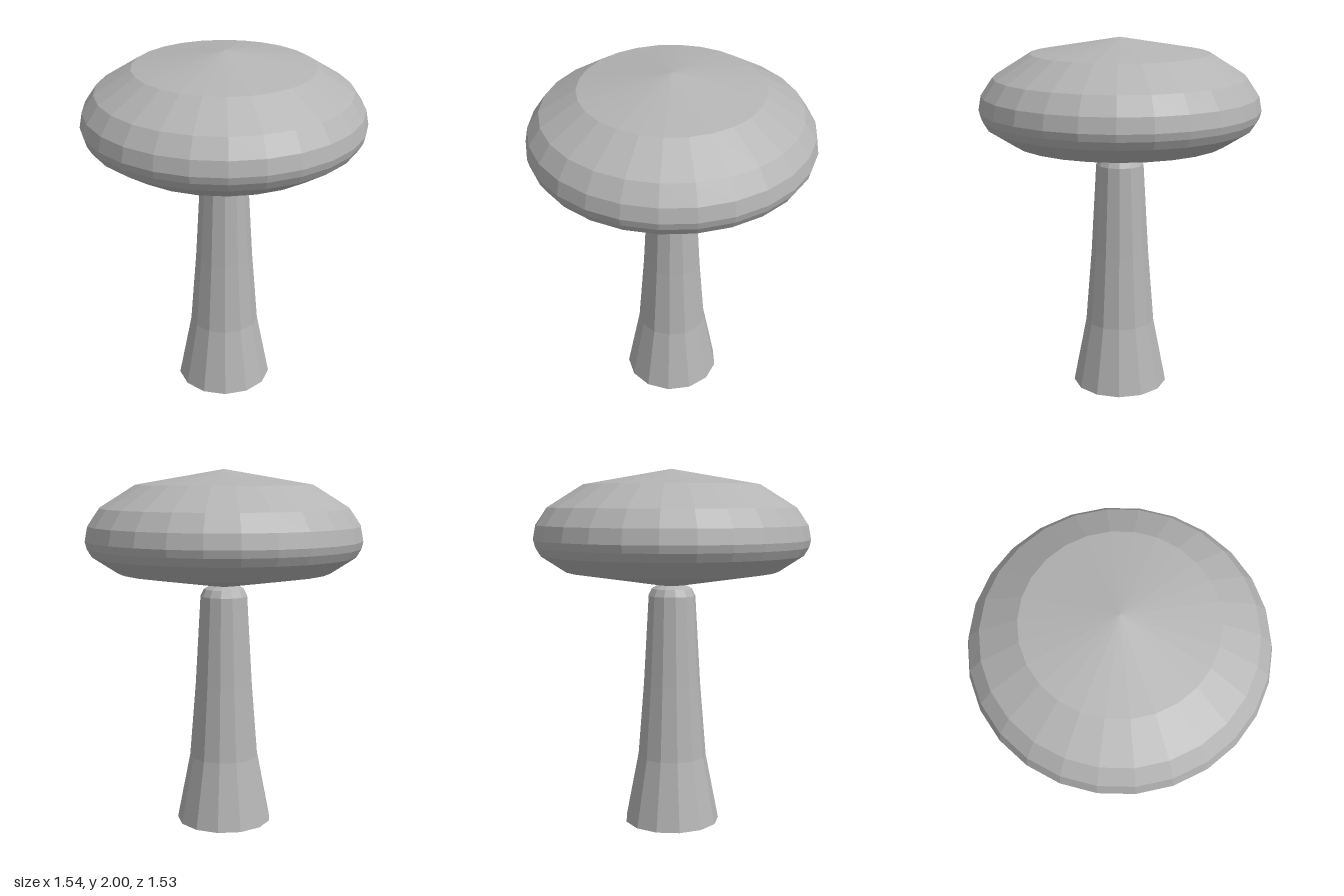
import * as THREE from 'three';

// Faceted solid of revolution from [radius, height] pairs, bottom to top
function turned(name, profile, sides, startAngle, material) {
  const points = profile.map(([r, y]) => new THREE.Vector2(r, y));
  const mesh = new THREE.Mesh(new THREE.LatheGeometry(points, sides, startAngle), material);
  mesh.name = name;
  return mesh;
}

export function createModel() {
  const grey = new THREE.MeshStandardMaterial({
    color: 0xb4b4b4, flatShading: true, side: THREE.DoubleSide,
  });
  grey.name = 'plain grey';

  const mushroom = new THREE.Group();
  mushroom.name = 'mushroom';

  // Flared stem, open at the foot and rounded under the cap
  mushroom.add(turned('stem', [
    [0.27, 0], [0.196, 0.38], [0.162, 0.8], [0.133, 1.3],
    [0.113, 1.34], [0.075, 1.362], [0, 1.365],
  ], 13, -Math.PI / 2, grey));

  // Wide cap with shallow cones above and below
  mushroom.add(turned('cap', [
    [0, 1.348], [0.595, 1.44], [0.733, 1.53], [0.76, 1.575], [0.77, 1.615],
    [0.755, 1.695], [0.69, 1.79], [0.49, 1.915], [0, 2],
  ], 26, Math.PI / 2, grey));

  return mushroom;
}
